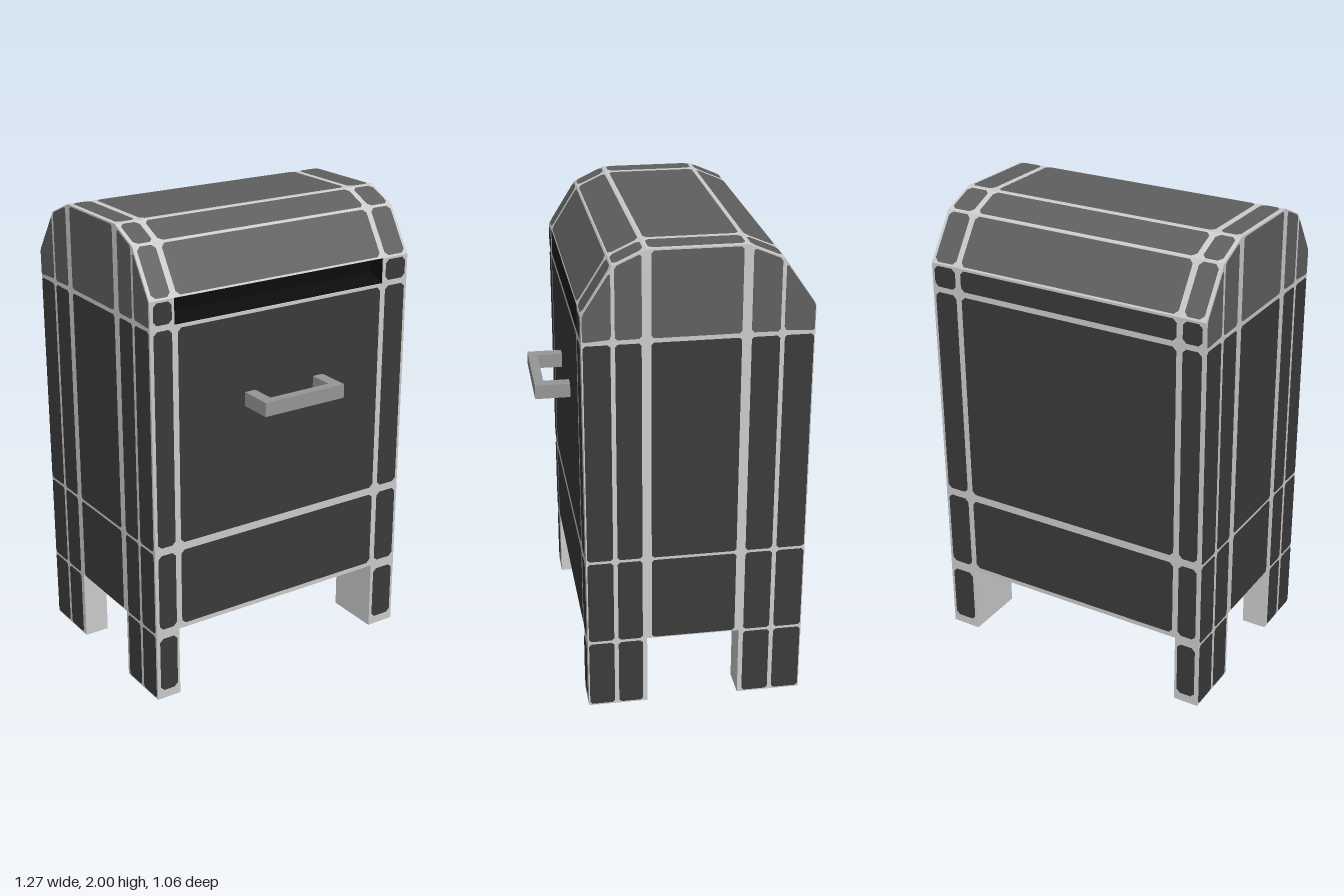
import * as THREE from 'three';
import { mergeGeometries } from 'three/addons/utils/BufferGeometryUtils.js';

const mat = (name, color) => Object.assign(new THREE.MeshStandardMaterial({ color }), { name });
const V = (x, y, z) => new THREE.Vector3(x, y, z);

// grid lines that divide the shell into panels
const XS = [-0.63, -0.52, 0.50, 0.63];
const XM = [0.014, 0.013, 0.013, 0.014]; // trim half-widths at those lines

// section path [z, y, trim half-width], up the front, over the roof, down the back
const PATH = [
  [0.38, 0, 0.04], [0.38, 0.31, 0.022], [0.38, 0.69, 0.017], [0.38, 1.64, 0.012], [0.38, 1.75, 0.008],
  [0.26, 1.94, 0.006], [0.13, 2, 0.01], [-0.26, 2, 0.01], [-0.40, 1.94, 0.007], [-0.53, 1.75, 0.008],
  [-0.53, 1.64, 0.012], [-0.53, 0.69, 0.017], [-0.53, 0.31, 0.022], [-0.53, 0, 0.04],
];

// flat panel inside quad a,b,c,d (counter-clockwise from outside), with margins and clipped corners
function panel([a, b, c, d], [l, r, bot, top], radius = 0.016) {
  const w = (a.distanceTo(b) + d.distanceTo(c)) / 2;
  const h = (a.distanceTo(d) + b.distanceTo(c)) / 2;
  const n = b.clone().sub(a).cross(d.clone().sub(a)).normalize().multiplyScalar(0.003);
  const u0 = l / w, u1 = 1 - r / w, v0 = bot / h, v1 = 1 - top / h;
  const ru = radius / w, rv = radius / h;
  const uv = radius
    ? [[u0 + ru, v0], [u1 - ru, v0], [u1, v0 + rv], [u1, v1 - rv], [u1 - ru, v1], [u0 + ru, v1], [u0, v1 - rv], [u0, v0 + rv]]
    : [[u0, v0], [u1, v0], [u1, v1], [u0, v1]];
  const pts = uv.map(([u, v]) =>
    a.clone().lerp(b, u).lerp(d.clone().lerp(c, u), v).add(n));
  const tris = [];
  for (let i = 1; i < pts.length - 1; i++) tris.push(pts[0], pts[i], pts[i + 1]);
  const g = new THREE.BufferGeometry().setFromPoints(tris);
  g.computeVertexNormals();
  return g;
}

// solid slice of the shell between two x positions, from a [z, y] section
function slice(points, x0, x1) {
  const shape = new THREE.Shape(points.map(([z, y]) => new THREE.Vector2(z, y)));
  const g = new THREE.ExtrudeGeometry(shape, { depth: x1 - x0, bevelEnabled: false });
  return g.rotateY(-Math.PI / 2).translate(x1, 0, 0);
}

export function createModel() {
  const group = new THREE.Group();
  const trim = mat('light grey trim', 0xcccccc);
  const dark = mat('dark grey panel', 0x3b3b3b);
  const roof = mat('mid grey roof', 0x5f5f5f);
  const metal = mat('grey handle', 0x969696);
  const black = mat('black slot', 0x0d0c0d);
  const add = (name, geometry, material) => {
    const m = new THREE.Mesh(geometry, material);
    m.name = name;
    group.add(m);
    return m;
  };

  // shell, with a notch for the mail slot in the middle slice
  const section = PATH.slice(1, -1);
  const notched = [...section.slice(0, 3), [0.30, 1.67], [0.30, 1.75], ...section.slice(3)];
  add('shell', mergeGeometries([
    slice(section, XS[0], XS[1]), slice(notched, XS[1], XS[2]), slice(section, XS[2], XS[3]),
  ]), trim);

  // four legs
  for (const [x0, x1] of [[XS[0], XS[1]], [XS[2], XS[3]]])
    for (const [z0, z1] of [[0.13, 0.38], [-0.53, -0.26]])
      add('leg', new THREE.BoxGeometry(x1 - x0, 0.31, z1 - z0)
        .translate((x0 + x1) / 2, 0.155, (z0 + z1) / 2), trim);

  const body = [], top = [];

  // panels along the front, roof and back
  for (let i = 0; i < PATH.length - 1; i++) {
    const [z0, y0, m0] = PATH[i], [z1, y1, m1] = PATH[i + 1];
    for (let j = 0; j < 3; j++) {
      if (j === 1 && (i === 0 || i === 3 || i === 12)) continue; // leg gaps and slot
      const q = [V(XS[j], y0, z0), V(XS[j + 1], y0, z0), V(XS[j + 1], y1, z1), V(XS[j], y1, z1)];
      (i >= 4 && i <= 8 ? top : body).push(panel(q, [XM[j], XM[j + 1], m0, m1]));
    }
  }

  // panels on both sides: columns [z, top y, trim half-width]
  const cols = [[0.38, 1.75, 0.005], [0.26, 1.94, 0.009], [0.13, 2, 0.019],
    [-0.26, 2, 0.019], [-0.40, 1.94, 0.009], [-0.53, 1.75, 0.005]];
  const rows = [[0, 0.008], [0.31, 0.006], [0.69, 0.006], [1.64, 0.009], [null, 0.005]];
  for (const side of [1, -1])
    for (let i = 0; i < 5; i++)
      for (let k = 0; k < 4; k++) {
        if (k === 0 && i === 2) continue; // gap between legs
        const [za, ta, ma] = cols[i], [zb, tb, mb] = cols[i + 1];
        const x = 0.63 * side, [y0, m0] = rows[k], [y1, m1] = rows[k + 1];
        const A = V(x, y0, za), B = V(x, y0, zb), C = V(x, y1 ?? tb, zb), D = V(x, y1 ?? ta, za);
        const g = side > 0 ? panel([A, B, C, D], [ma, mb, m0, m1], 0.01)
          : panel([B, A, D, C], [mb, ma, m0, m1], 0.01);
        (k === 3 ? top : body).push(g);
      }

  // panels on the underside and the feet
  const zs = [-0.53, -0.26, 0.13, 0.38];
  for (let i = 0; i < 3; i++)
    for (let j = 0; j < 3; j++) {
      const foot = i !== 1 && j !== 1, y = foot ? 0.004 : 0.31, m = foot ? 0.018 : 0.024;
      const q = [V(XS[i], y, zs[j]), V(XS[i + 1], y, zs[j]), V(XS[i + 1], y, zs[j + 1]), V(XS[i], y, zs[j + 1])];
      body.push(panel(q, [m, m, m, m]));
    }

  add('bodyPanels', mergeGeometries(body), dark);
  add('roofPanels', mergeGeometries(top), roof);

  // black lining of the mail slot: floor, back, ceiling and ends
  const [l, r] = [XS[1], XS[2]];
  const none = [0, 0, 0, 0];
  const lip = [[0.38, 1.64], [0.30, 1.67], [0.30, 1.75], [0.38, 1.75]];
  const lining = [0, 1, 2].map((i) => {
    const [z0, y0] = lip[i], [z1, y1] = lip[i + 1];
    return panel([V(l, y0, z0), V(r, y0, z0), V(r, y1, z1), V(l, y1, z1)], none, 0);
  });
  const end = (x) => lip.map(([z, y]) => V(x, y, z));
  lining.push(panel(end(l), none, 0).scale(1, 1, 1), panel(end(r).reverse(), none, 0));
  const slot = add('mailSlot', mergeGeometries(lining), black);
  slot.material.side = THREE.DoubleSide;

  // pull handle
  const handle = new THREE.Group();
  handle.name = 'handle';
  const bar = (name, w, d, x, z) => {
    const m = new THREE.Mesh(new THREE.BoxGeometry(w, 0.06, d), metal);
    m.name = name;
    m.position.set(x, 1.27, z);
    handle.add(m);
  };
  bar('grip', 0.39, 0.04, 0, 0.51);
  for (const s of [-1, 1]) bar('arm', 0.05, 0.11, s * 0.17, 0.435);
  group.add(handle);

  return group;
}
